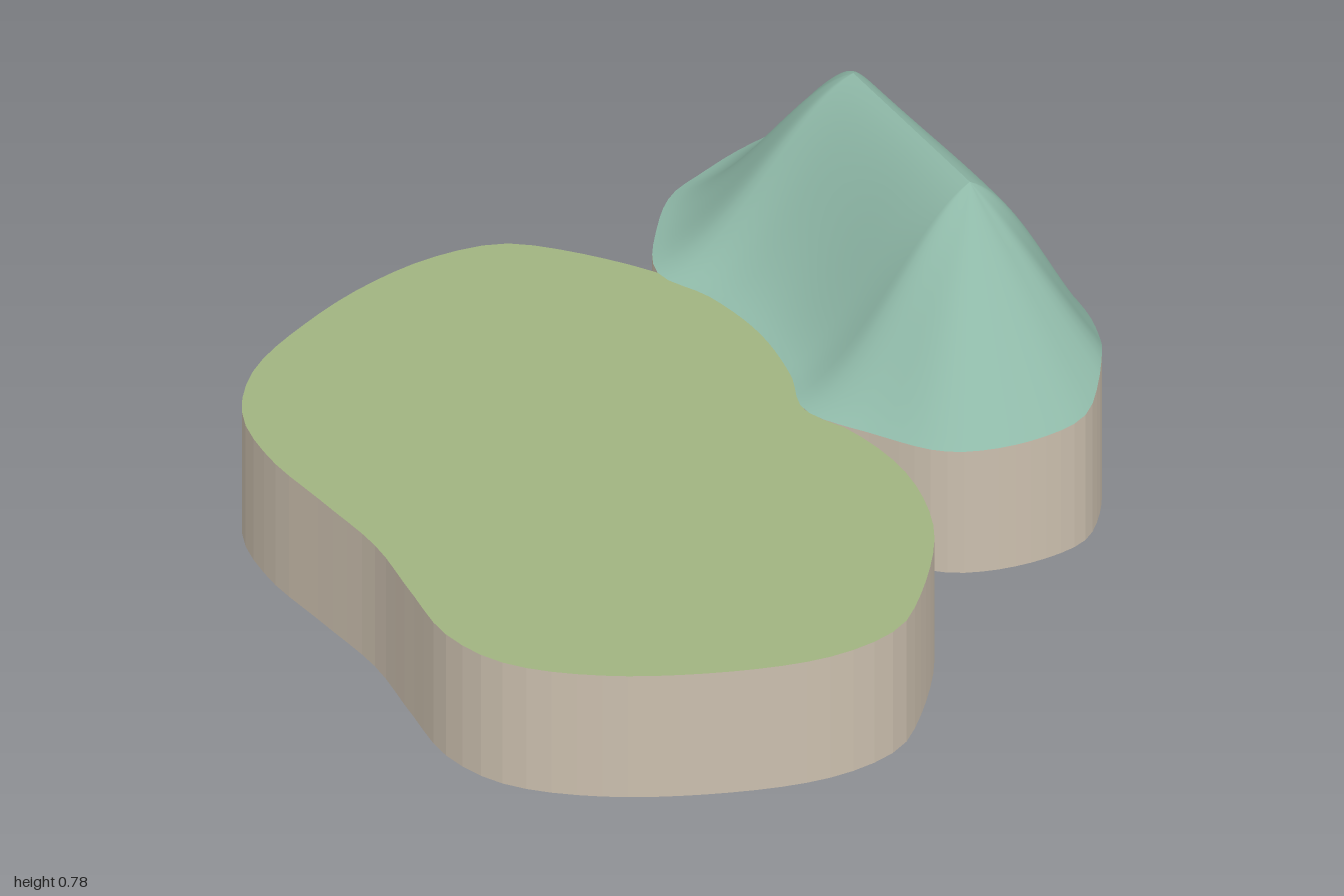
import * as THREE from 'three';

const SEGMENTS = 90;
const TOP = 0.335;

// Smooth closed outline through [x, z] points, clockwise seen from above
function outline(points) {
  const curve = new THREE.CatmullRomCurve3(points.map(([x, z]) => new THREE.Vector3(x, 0, z)), true, 'centripetal');
  return curve.getSpacedPoints(SEGMENTS).slice(0, SEGMENTS);
}

// Skin over closed loops of equal length, ordered from the bottom up
function loft(rows) {
  const n = rows[0].length;
  const index = [];
  for (let r = 0; r < rows.length - 1; r++) {
    for (let i = 0; i < n; i++) {
      const a = r * n + i, b = r * n + (i + 1) % n;
      index.push(a, a + n, b, b, a + n, b + n);
    }
  }
  const geometry = new THREE.BufferGeometry().setFromPoints(rows.flat());
  geometry.setIndex(index);
  geometry.computeVertexNormals();
  return geometry;
}

// Flat cap inside an outline, facing up or down
function cap(loop, y, up) {
  const shape = new THREE.Shape(loop.map(p => new THREE.Vector2(p.x, up ? -p.z : p.z)));
  return new THREE.ShapeGeometry(shape).rotateX(up ? -Math.PI / 2 : Math.PI / 2).translate(0, y, 0);
}

export function createModel() {
  const model = new THREE.Group();
  const stone = new THREE.MeshStandardMaterial({ color: 0xcbbfae, flatShading: true });
  const grass = new THREE.MeshStandardMaterial({ color: 0xa0b380 });
  const slope = new THREE.MeshStandardMaterial({ color: 0x8fb9a8, side: THREE.DoubleSide });

  const add = (name, geometry, material) => {
    const mesh = new THREE.Mesh(geometry, material);
    mesh.name = name;
    model.add(mesh);
  };

  // Broad low plateau
  const plateau = outline([
    [-0.22, -0.975], [-0.06, -0.95], [0.04, -0.87], [0.2, -0.66], [0.26, -0.51], [0.285, -0.32],
    [0.26, -0.12], [0.21, 0.03], [0.26, 0.16], [0.285, 0.35], [0.26, 0.52], [0.2, 0.67],
    [0.04, 0.88], [-0.06, 0.965], [-0.22, 0.998], [-0.42, 0.965], [-0.75, 0.82], [-0.94, 0.65],
    [-0.998, 0.48], [-0.98, 0.27], [-0.955, 0.06], [-0.97, -0.17], [-0.985, -0.4], [-0.95, -0.59],
    [-0.83, -0.75], [-0.6, -0.88], [-0.4, -0.95],
  ]);
  add('plateauWall', loft([plateau, plateau.map(p => p.clone().setY(TOP))]), stone);
  add('plateauFloor', cap(plateau, 0, false), stone);
  add('plateauTop', cap(plateau, TOP, true), grass);

  // Hill base, its rim swelling at the outer back and outer front
  const hill = outline([
    [0.2, -0.66], [0.3, -0.84], [0.4, -0.945], [0.5, -0.985], [0.62, -1], [0.75, -0.965],
    [0.83, -0.865], [0.92, -0.62], [0.98, -0.35], [1, -0.15], [0.985, 0.02], [0.92, 0.18],
    [0.84, 0.31], [0.76, 0.385], [0.64, 0.408], [0.5, 0.39], [0.4, 0.34], [0.3, 0.2],
    [0.21, 0.03], [0.255, -0.12], [0.28, -0.32], [0.255, -0.51],
  ]);
  const swell = (z, centre, width) => Math.exp(-(((z - centre) / width) ** 2));
  const rim = hill.map(p => {
    const outer = THREE.MathUtils.smoothstep(p.x, 0.45, 0.82);
    return p.clone().setY(TOP + outer * (0.14 * swell(p.z, -0.8, 0.23) + 0.065 * swell(p.z, 0.24, 0.11)));
  });
  add('hillWall', loft([hill, rim]), stone);
  add('hillFloor', cap(hill, 0, false), stone);

  // Hill slopes, rising from the rim to a straight ridge
  const rows = [];
  const STEPS = 20;
  for (let s = 0; s <= STEPS; s++) {
    const t = s / STEPS;
    rows.push(rim.map(p => {
      const z = THREE.MathUtils.clamp(p.z, -0.6, -0.04);
      const ridge = new THREE.Vector3(0.69, 0.78 + (z + 0.04) * 0.018, z);
      // Straight at the front, rounded at the sides and back
      const round = 0.6 * (1 - THREE.MathUtils.smoothstep(p.z, -0.05, 0.35));
      const bulge = THREE.MathUtils.lerp(1.08, 0.8, THREE.MathUtils.smoothstep(p.x, 0.4, 0.9));
      const u = round > 0 ? Math.pow(t, THREE.MathUtils.lerp(1, bulge, round / 0.6)) : t;
      const rise = THREE.MathUtils.lerp(u, u * u * (3 - 2 * u), round);
      const v = p.clone().lerp(ridge, t);
      return v.setY(THREE.MathUtils.lerp(p.y, ridge.y, rise));
    }));
  }
  add('hillSlopes', loft(rows), slope);

  return model;
}
